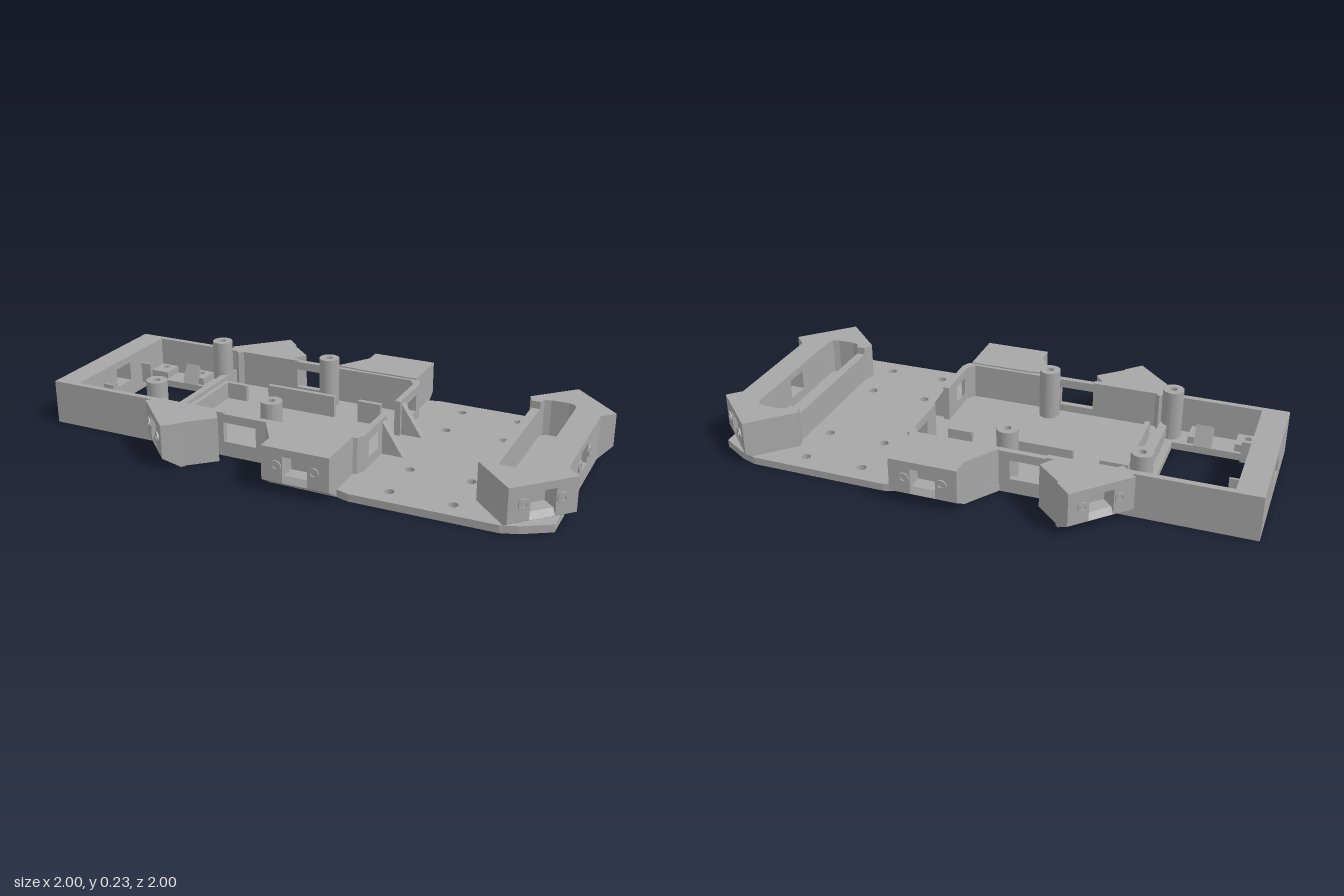
import * as THREE from 'three';

const plastic = new THREE.MeshStandardMaterial({ color: 0xa6a6a6 });
plastic.name = 'grey plastic';

function add(parent, name, geometry) {
  const mesh = new THREE.Mesh(geometry, plastic);
  mesh.name = name;
  parent.add(mesh);
  return mesh;
}

const toShape = (pts) => new THREE.Shape(pts.map(([x, y]) => new THREE.Vector2(x, y)));
const rect = (x0, y0, x1, y1) => [[x0, y0], [x1, y0], [x1, y1], [x0, y1]];
const circle = (x, y, r) => new THREE.Path().absarc(x, y, r, 0, Math.PI * 2, true);

// Floor-plan outline (x, z) raised from y0 to y1
function plan(pts, y0, y1, holes = []) {
  const shape = toShape(pts);
  shape.holes = holes;
  const g = new THREE.ExtrudeGeometry(shape, { depth: y1 - y0, bevelEnabled: false, curveSegments: 10 });
  return g.rotateX(Math.PI / 2).translate(0, y1, 0);
}

// Upright outline (x, y) running from z0 to z1
function panel(pts, z0, z1, holes = []) {
  const shape = toShape(pts);
  shape.holes = holes;
  const g = new THREE.ExtrudeGeometry(shape, { depth: z1 - z0, bevelEnabled: false, curveSegments: 10 });
  return g.translate(0, 0, z0);
}

// Side outline (z, y) running from x0 to x1
function profile(pts, x0, x1) {
  const g = new THREE.ExtrudeGeometry(toShape(pts), { depth: x1 - x0, bevelEnabled: false });
  return g.rotateY(-Math.PI / 2).scale(1, 1, 1).translate(x1, 0, 0);
}

// Two screw ears beside a sensor opening
function ears(parent, z) {
  for (const s of [-1, 1]) {
    const ring = new THREE.Shape().absarc(s * 0.075, 0.11, 0.022, 0, Math.PI * 2);
    ring.holes = [circle(s * 0.075, 0.11, 0.01)];
    add(parent, 'screwEar', new THREE.ExtrudeGeometry(ring, { depth: 0.006, bevelEnabled: false, curveSegments: 8 }).translate(0, 0, z));
  }
}

// Sensor pod facing +z with an undercut base and an open window
function sensorPod(parent, name, x, z, angle) {
  const pod = new THREE.Group();
  pod.name = name;
  pod.position.set(x, 0, z);
  pod.rotation.y = angle;
  const d = -0.085, h = 0.18;
  const side = [[d, 0], [-0.07, 0], [0, 0.045], [0, h], [d, h]];
  add(pod, 'podSide', profile(side, 0.05, 0.135));
  add(pod, 'podSide', profile(side, -0.135, -0.05));
  add(pod, 'podTop', profile([[d, 0.15], [0, 0.15], [0, h], [d, h]], -0.05, 0.05));
  add(pod, 'podSill', profile([[d, 0], [-0.07, 0], [0, 0.045], [-0.015, 0.07], [d, 0.07]], -0.05, 0.05));
  add(pod, 'podBack', new THREE.BoxGeometry(0.1, 0.08, 0.012).translate(0, 0.11, d + 0.006));
  ears(pod, 0);
  parent.add(pod);
}

export function createModel() {
  const root = new THREE.Group();
  root.name = 'robotChassis';
  const body = new THREE.Group();
  body.name = 'chassisBody';
  body.rotation.y = Math.PI / 4;
  root.add(body);
  const H = 0.18, F = 0.03;

  // Base plate with rear opening and mounting holes
  const half = [[0.33, -1.08], [0.33, -0.11], [0.46, -0.02], [0.465, 0.25], [0.48, 0.3],
    [0.475, 0.856], [0.453, 0.92], [0.39, 1.025]];
  const outline = [...half, ...half.map(([x, z]) => [-x, z]).reverse()];
  const opening = toShape(rect(-0.2, -0.976, 0.2, -0.65));
  const holes = [opening];
  for (const s of [-1, 1]) {
    for (const z of [0.427, 0.667]) for (const x of [0.2, 0.4]) holes.push(circle(s * x, z, 0.019));
    for (const z of [-0.94, -0.753]) holes.push(circle(s * 0.274, z, 0.014));
  }
  add(body, 'basePlate', plan(outline, 0, F, holes));

  // Rear and front walls with a sensor window
  const slot = () => toShape(rect(-0.05, 0.07, 0.05, 0.15));
  add(body, 'rearWall', panel(rect(-0.33, F, 0.33, H), -1.08, -0.976, [slot()]));
  add(body, 'frontWall', panel(rect(-0.29, F, 0.29, H), 0.92, 1.025, [slot()]));
  const rearEars = new THREE.Group();
  rearEars.name = 'rearEars';
  rearEars.rotation.y = Math.PI;
  rearEars.position.z = -1.074;
  body.add(rearEars);
  ears(rearEars, 0);
  ears(body, 1.025);

  // Low wall behind the front trough, and crossbar ahead of the rear opening
  add(body, 'troughWall', plan(rect(-0.34, 0.745, 0.34, 0.78), F, 0.15));
  add(body, 'crossbar', plan(rect(-0.31, -0.62, 0.31, -0.59), F, 0.09));

  // Battery bay rear rail
  add(body, 'batteryRailRear', plan(rect(-0.21, -0.555, 0.15, -0.535), F, 0.1));

  for (const s of [-1, 1]) {
    const m = (pts) => pts.map(([x, z]) => [s * x, z]);
    const box = (name, x0, z0, x1, z1, y0, y1) => add(body, name, plan(m(rect(x0, z0, x1, z1)), y0, y1));

    // Side walls with a low window and a chamfered front corner
    box('rearSideWall', 0.305, -0.98, 0.33, -0.29, F, H);
    box('sideWallSill', 0.305, -0.29, 0.33, -0.15, F, 0.06);
    box('sideWallLintel', 0.305, -0.29, 0.33, -0.15, 0.14, 0.175);
    add(body, 'sideWall', plan(m([[0.33, -0.15], [0.33, 0.235], [0.318, 0.265], [0.285, 0.28],
      [0.27, 0.28], [0.27, 0.255], [0.305, 0.23], [0.305, -0.15]]), F, 0.175));

    // Bay front wall with window and gusset
    add(body, 'bayFrontWall', panel(m(rect(0.07, F, 0.285, 0.175)), 0.255, 0.28,
      [toShape(m(rect(0.155, 0.07, 0.245, 0.14)))]));
    const cx = s * 0.1;
    add(body, 'gusset', profile([[0.28, F], [0.365, F], [0.28, 0.16]], cx - 0.015, cx + 0.015));

    // Pillars with screw holes
    for (const z of [-0.63, -0.117]) {
      const r = 0.042, b = 0.015;
      const pts = [[0, 0.17], [b, 0.17], [b, 0.235], [r, 0.235], [r, F]].map(([x, y]) => new THREE.Vector2(x, y));
      const g = new THREE.LatheGeometry(pts.reverse(), 24).toNonIndexed();
      g.computeVertexNormals();
      add(body, 'pillar', g.translate(s * 0.26, 0, z));
    }

    // Rear mounting pads, blocks and locating ribs
    for (const z of [-0.94, -0.753]) {
      add(body, 'mountingPad', plan(m(rect(0.215, z - 0.045, 0.305, z + 0.045)), F, 0.06, [circle(s * 0.274, z, 0.014)]));
    }
    add(body, 'padWedge', panel(m([[0.2, F], [0.235, F], [0.235, 0.11]]), -0.805, -0.735));
    box('locatingRib', 0.135, -0.976, 0.145, -0.93, F, 0.12);

    // Rear diagonal pods
    sensorPod(body, 'rearPod', s * 0.442, -0.534, s * Math.PI * 0.75);
    add(body, 'rearPodBody', plan(m([[0.31, -0.58], [0.475, -0.385], [0.382, -0.283], [0.31, -0.335]]), 0, H));

    // Side pods with a tapered fairing
    sensorPod(body, 'sidePod', s * 0.53, 0.115, s * Math.PI / 2);
    box('sidePodBody', 0.32, -0.02, 0.446, 0.25, 0, H);
    add(body, 'sidePodFairing', plan(m([[0.325, -0.11], [0.463, -0.02], [0.325, -0.02]]), 0, H));

    // Front corner pods, rounded into the trough ends
    sensorPod(body, 'frontPod', s * 0.392, 0.979, s * Math.PI / 4);
    add(body, 'frontPodBody', plan(m([[0.29, 0.745], [0.332, 0.728], [0.43, 0.826], [0.24, 1.02],
      [0.25, 0.92], [0.29, 0.92], [0.315, 0.91], [0.325, 0.885], [0.325, 0.815], [0.315, 0.79], [0.29, 0.78]]), F, H));
  }

  // Battery bay side rails on one side
  add(body, 'batteryRailCorner', plan(rect(0.13, -0.555, 0.15, -0.445), F, 0.1));
  add(body, 'batteryRailLong', plan(rect(0.13, -0.34, 0.15, -0.035), F, 0.12));
  add(body, 'batteryRailShort', plan(rect(0.13, 0.07, 0.15, 0.17), F, 0.12));
  return root;
}
